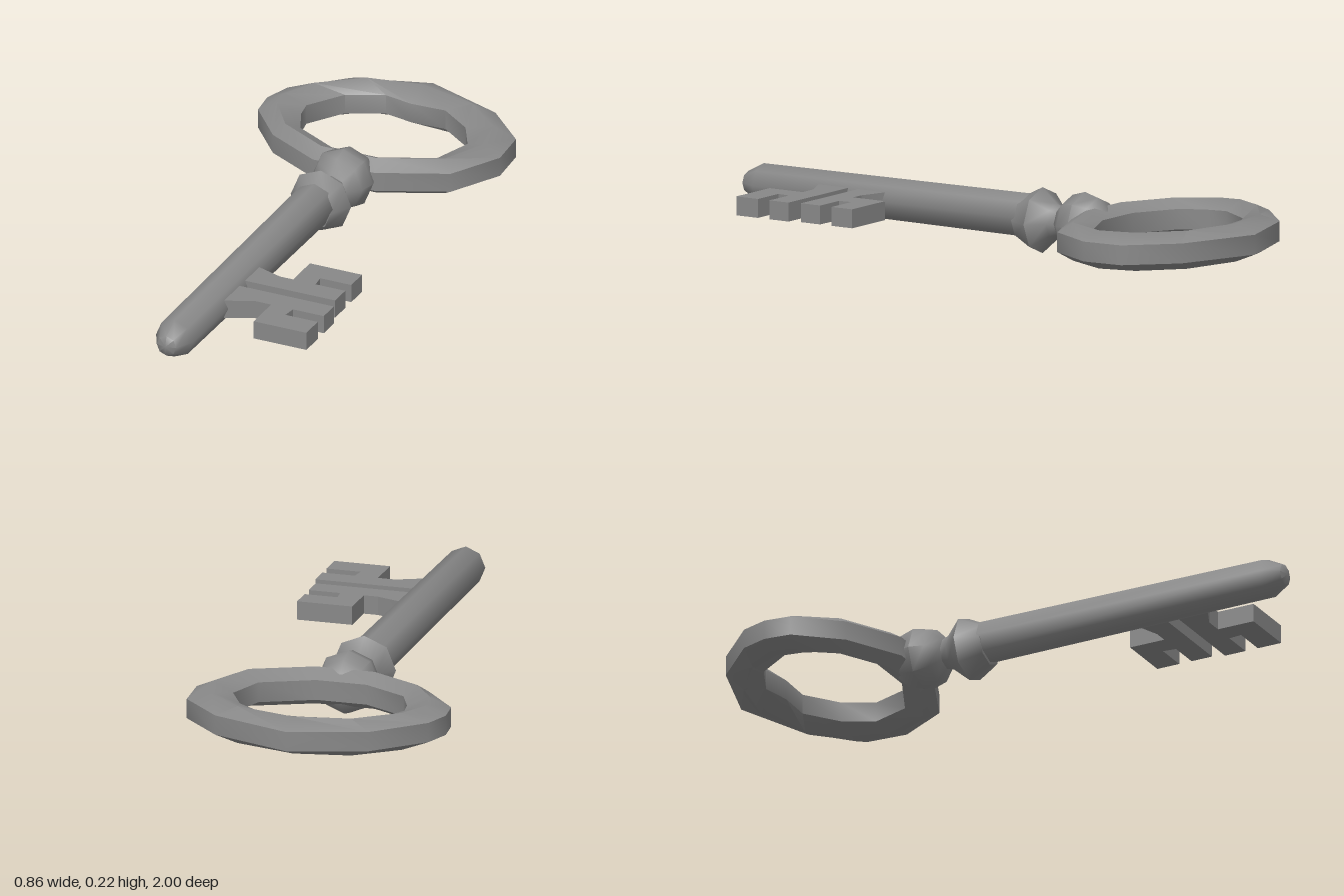
import * as THREE from 'three';
import { toCreasedNormals } from 'three/addons/utils/BufferGeometryUtils.js';

export function createModel() {
  const key = new THREE.Group();
  key.name = 'key';
  const iron = new THREE.MeshStandardMaterial({ color: 0x888888 });
  iron.name = 'iron';

  const add = (name, geometry, crease = 0.9) => {
    const mesh = new THREE.Mesh(toCreasedNormals(geometry, crease), iron);
    mesh.name = name;
    key.add(mesh);
    return mesh;
  };

  // Turned parts: profile of [radius, z] spun around the length of the key
  const turned = (name, profile, y, sides = 8) => {
    const points = profile.map(([r, z]) => new THREE.Vector2(r, z));
    const geometry = new THREE.LatheGeometry(points, sides).rotateX(Math.PI / 2);
    add(name, geometry).position.set(0.008, y, 0);
  };
  turned('shaft', [[0, -0.13], [0.072, -0.12], [0.066, 0.93], [0.035, 0.99], [0, 1]], 0.125);
  turned('collar', [[0.055, -0.3], [0.05, -0.25], [0.06, -0.22], [0.108, -0.165], [0.07, -0.09], [0, -0.08]], 0.114);

  // Ball between collar and bow
  const ball = [];
  for (let i = 0; i <= 6; i++) {
    const a = (i / 6) * Math.PI;
    ball.push([0.106 * Math.sin(a), -0.332 - 0.1 * Math.cos(a)]);
  }
  turned('ball', ball, 0.117);

  // Bow: uneven hand-forged ring, [outer x, outer z, inner x, inner z] per section
  const sections = [
    [0.01, -1, 0.01, -0.835], [0.28, -0.9, 0.13, -0.84], [0.42, -0.76, 0.24, -0.76],
    [0.43, -0.62, 0.295, -0.66], [0.335, -0.45, 0.25, -0.53], [0.11, -0.35, 0.08, -0.45],
    [-0.11, -0.35, -0.09, -0.45], [-0.3, -0.45, -0.24, -0.53], [-0.42, -0.59, -0.28, -0.62],
    [-0.43, -0.68, -0.29, -0.68], [-0.4, -0.77, -0.21, -0.8], [-0.245, -0.92, -0.09, -0.855],
  ];
  // Cross-section as [share of the way inwards, height]
  const rim = [[0, 0.15], [0.45, 0.18], [1, 0.152], [1, 0.085], [0.45, 0.055], [0, 0.085]];
  const vertices = [], faces = [];
  const n = sections.length, m = rim.length;
  sections.forEach(([ox, oz, ix, iz], i) => {
    rim.forEach(([t, y], k) => {
      vertices.push(ox + (ix - ox) * t, y, oz + (iz - oz) * t);
      const i2 = (i + 1) % n, k2 = (k + 1) % m;
      const a = i * m + k, b = i2 * m + k, c = i2 * m + k2, d = i * m + k2;
      faces.push(a, c, b, a, d, c);
    });
  });
  const bow = new THREE.BufferGeometry();
  bow.setAttribute('position', new THREE.Float32BufferAttribute(vertices, 3));
  bow.setIndex(faces);
  add('bow', bow);

  // Bits: flat hooked teeth, outlines as [x, z]
  const bit = (name, outline) => {
    const shape = new THREE.Shape(outline.map(([x, z]) => new THREE.Vector2(x, -z)));
    const geometry = new THREE.ExtrudeGeometry(shape, { depth: 0.062, bevelEnabled: false });
    add(name, geometry.rotateX(-Math.PI / 2), 0.3).position.y = 0.093;
  };
  bit('rearBit', [
    [0.04, 0.4], [0.065, 0.415], [0.153, 0.445], [0.2, 0.445], [0.2, 0.32], [0.386, 0.32],
    [0.386, 0.4], [0.275, 0.4], [0.28, 0.445], [0.386, 0.445], [0.386, 0.52], [0.04, 0.52],
  ]);
  bit('frontBit', [
    [0.04, 0.56], [0.4, 0.56], [0.4, 0.635], [0.29, 0.635], [0.285, 0.68], [0.4, 0.68],
    [0.4, 0.765], [0.212, 0.765], [0.212, 0.635], [0.153, 0.635], [0.065, 0.675], [0.04, 0.685],
  ]);

  return key;
}
